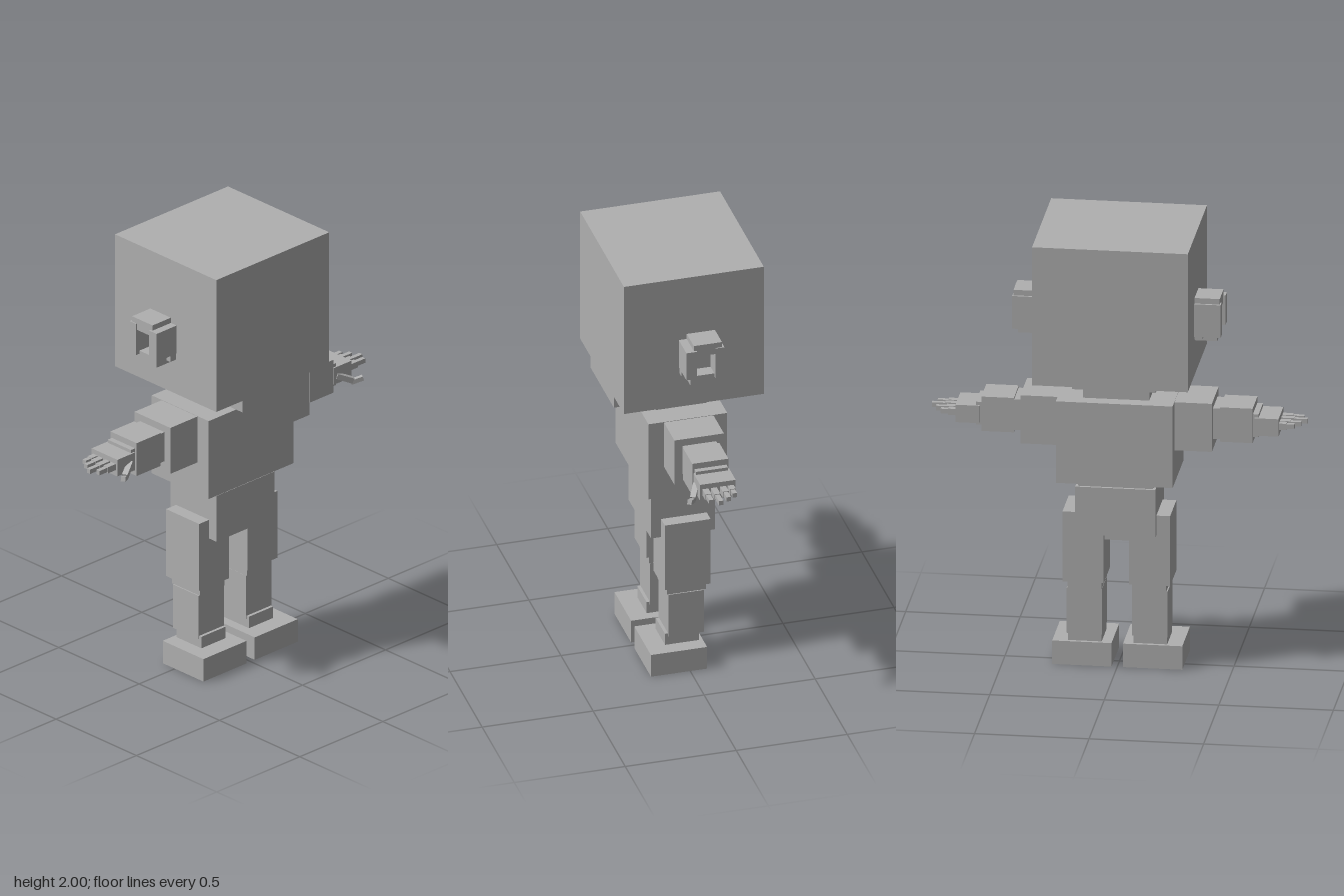
import * as THREE from 'three';

const grey = new THREE.MeshStandardMaterial({ color: 0xb0b0b0 });
grey.name = 'plain grey';

// Box given by its [min, max] range on each axis
function box(parent, name, [x0, x1], [y0, y1], [z0, z1]) {
  const mesh = new THREE.Mesh(new THREE.BoxGeometry(Math.abs(x1 - x0), y1 - y0, z1 - z0), grey);
  mesh.position.set((x0 + x1) / 2, (y0 + y1) / 2, (z0 + z1) / 2);
  mesh.name = name;
  parent.add(mesh);
  return mesh;
}

// Square bar running from point a to point b
function bar(parent, name, a, b, size) {
  const from = new THREE.Vector3(...a), to = new THREE.Vector3(...b);
  const mesh = new THREE.Mesh(new THREE.BoxGeometry(size, size, from.distanceTo(to)), grey);
  mesh.position.copy(from).add(to).multiplyScalar(0.5);
  mesh.lookAt(to);
  mesh.name = name;
  parent.add(mesh);
}

function group(parent, name) {
  const g = new THREE.Group();
  g.name = name;
  parent.add(g);
  return g;
}

export function createModel() {
  const model = new THREE.Group();
  model.name = 'blockFigure';

  // Head and trunk
  box(model, 'head', [-0.34, 0.34], [1.365, 2], [-0.315, 0.315]);
  box(model, 'jaw', [-0.183, 0.183], [1.31, 1.365], [-0.19, 0.315]);
  box(model, 'neck', [-0.145, 0.145], [1.245, 1.31], [-0.113, 0.115]);
  box(model, 'chest', [-0.255, 0.255], [0.87, 1.245], [-0.175, 0.18]);
  box(model, 'waist', [-0.163, 0.163], [0.845, 0.87], [-0.13, 0.13]);
  box(model, 'pelvis', [-0.175, 0.175], [0.625, 0.845], [-0.142, 0.145]);
  box(model, 'crotch', [-0.06, 0.06], [0.585, 0.625], [-0.08, 0.08]);

  for (const [s, side] of [[1, 'left'], [-1, 'right']]) {
    const mx = (a, b) => [s * a, s * b];

    // Ear: a base plate with a raised rim around a hollow
    const ear = group(model, side + 'Ear');
    box(ear, 'earBase', mx(0.34, 0.375), [1.53, 1.69], [-0.1, 0.065]);
    box(ear, 'earFrontRim', mx(0.34, 0.46), [1.56, 1.695], [0.02, 0.068]);
    box(ear, 'earTopRim', mx(0.34, 0.45), [1.665, 1.72], [-0.095, 0.032]);
    box(ear, 'earBackRim', mx(0.34, 0.455), [1.545, 1.695], [-0.105, -0.065]);
    box(ear, 'earLobe', mx(0.34, 0.435), [1.515, 1.56], [-0.065, 0.042]);

    // Arm held straight out
    const arm = group(model, side + 'Arm');
    box(arm, 'upperArm', mx(0.25, 0.418), [1.022, 1.243], [-0.113, 0.11]);
    box(arm, 'elbow', mx(0.41, 0.455), [1.07, 1.21], [-0.078, 0.073]);
    box(arm, 'forearm', mx(0.45, 0.592), [1.06, 1.218], [-0.083, 0.08]);
    box(arm, 'wrist', mx(0.585, 0.617), [1.085, 1.19], [-0.074, 0.07]);
    box(arm, 'palm', mx(0.6, 0.705), [1.095, 1.175], [-0.083, 0.077]);

    // Four fingers, each with a slimmer tip
    for (const [z, tip] of [[-0.06, 0.772], [-0.025, 0.797], [0.016, 0.82], [0.054, 0.8]]) {
      const mid = 0.705 + (tip - 0.705) * 0.5;
      box(arm, 'finger', mx(0.7, mid), [1.123, 1.152], [z - 0.0135, z + 0.0135]);
      box(arm, 'fingerTip', mx(mid, tip), [1.128, 1.149], [z - 0.01, z + 0.01]);
    }
    bar(arm, 'thumb', [s * 0.62, 1.13, 0.07], [s * 0.685, 1.098, 0.104], 0.025);
    bar(arm, 'thumbTip', [s * 0.678, 1.09, 0.1], [s * 0.722, 1.106, 0.13], 0.02);

    // Leg and foot
    const leg = group(model, side + 'Leg');
    box(leg, 'thigh', mx(0.055, 0.235), [0.393, 0.715], [-0.106, 0.1]);
    box(leg, 'knee', mx(0.067, 0.215), [0.357, 0.393], [-0.09, 0.085]);
    box(leg, 'shin', mx(0.066, 0.22), [0.148, 0.357], [-0.08, 0.08]);
    box(leg, 'ankle', mx(0.07, 0.216), [0.108, 0.163], [-0.06, 0.094]);
    box(leg, 'foot', mx(0.025, 0.284), [0, 0.108], [-0.076, 0.177]);
  }
  return model;
}
